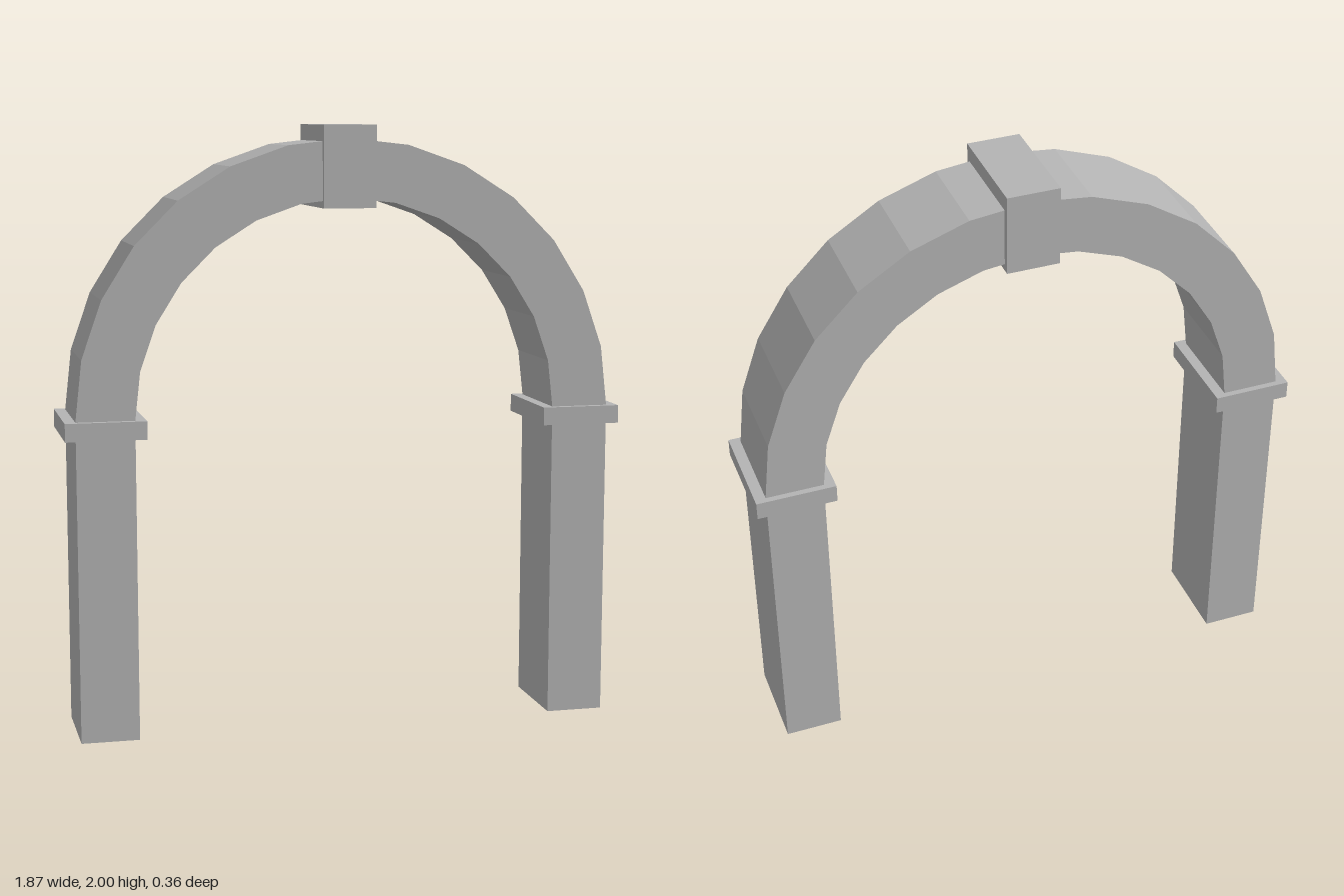
import * as THREE from 'three';

const SEGMENTS = 14;
const SPRING = 1.06; // height where the arch starts
const OUTER = 0.897, INNER = 0.705;
const DEPTH = 0.315, TRIM_DEPTH = 0.356;

export function createModel() {
  const model = new THREE.Group();
  model.name = 'archway';
  const stone = new THREE.MeshStandardMaterial({ color: 0xb4b4b4 });
  stone.name = 'grey stone';

  const add = (name, geometry, x, y, z) => {
    const mesh = new THREE.Mesh(geometry, stone);
    mesh.name = name;
    mesh.position.set(x, y, z);
    model.add(mesh);
  };

  // Pillars and their capitals
  for (const [side, s] of [['left', 1], ['right', -1]]) {
    const x = s * (OUTER + INNER) / 2;
    add(side + 'Pillar', new THREE.BoxGeometry(OUTER - INNER, 1, DEPTH), x, 0.5, 0);
    add(side + 'Capital', new THREE.BoxGeometry(0.264, 0.06, TRIM_DEPTH), x, 1.03, 0);
  }

  // Faceted half-ring arch
  const point = (radius, i) => {
    const a = (i / SEGMENTS) * Math.PI;
    return new THREE.Vector2(radius * Math.cos(a), radius * Math.sin(a));
  };
  const outline = [];
  for (let i = 0; i <= SEGMENTS; i++) outline.push(point(OUTER, i));
  for (let i = SEGMENTS; i >= 0; i--) outline.push(point(INNER, i));
  const arch = new THREE.ExtrudeGeometry(new THREE.Shape(outline), { depth: DEPTH, bevelEnabled: false });
  add('arch', arch, 0, SPRING, -DEPTH / 2);

  // Keystone at the crown
  add('keystone', new THREE.BoxGeometry(0.174, 0.268, TRIM_DEPTH), 0, 1.866, 0);

  return model;
}
